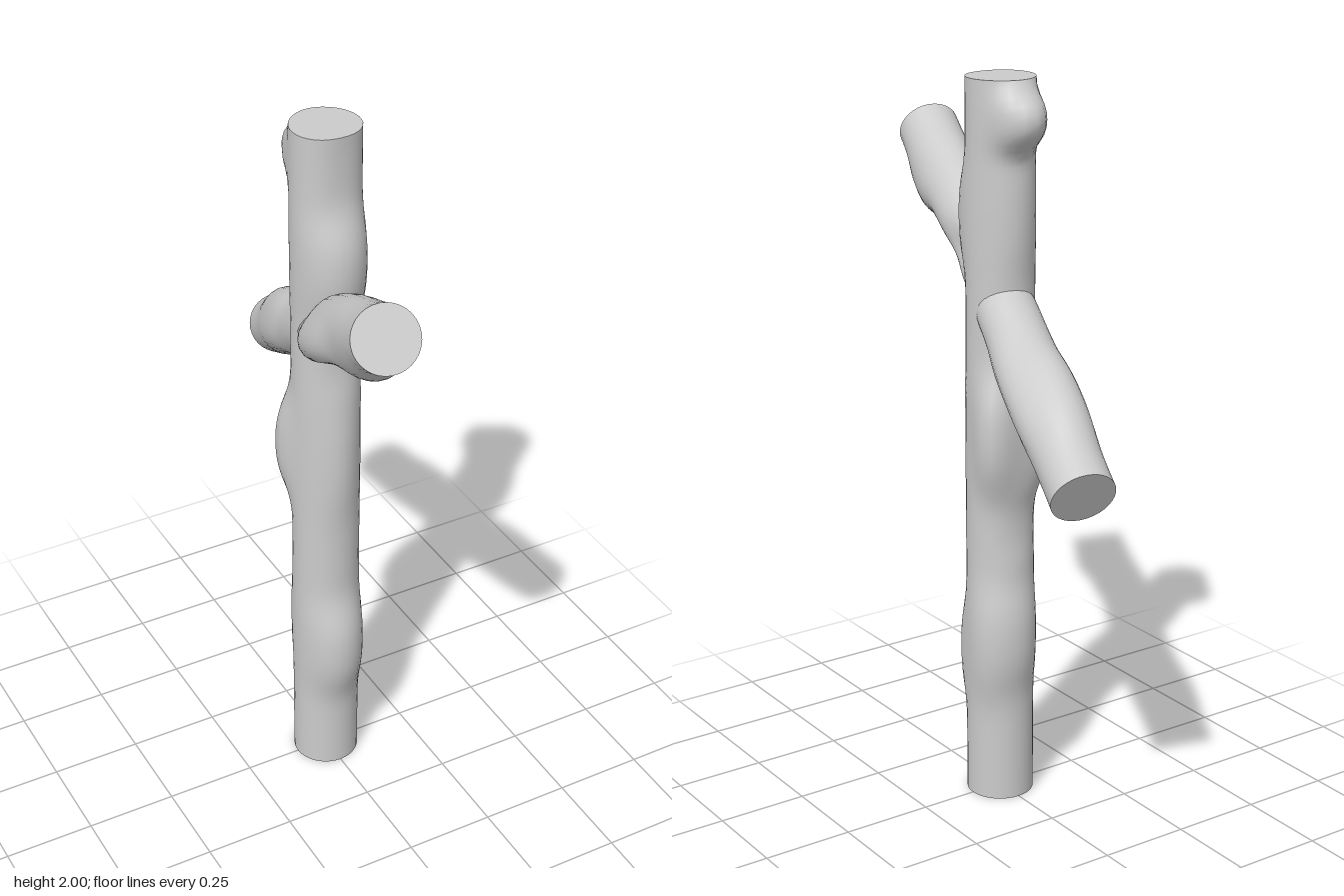
import * as THREE from 'three';

const SIDES = 32;
const ROWS = 100;

// Distance between two angles in degrees, wrapped to 0..180
function angleGap(a, b) {
  return Math.abs(((a - b + 540) % 360) - 180);
}

// A rough log along y with flat ends. Angle 0 faces +z, 90 faces +x.
// Each bump is [position, angle, height, half length, half angle].
function makeLog(y0, y1, radius, bumps, material) {
  const geometry = new THREE.CylinderGeometry(radius, radius, y1 - y0, SIDES, ROWS);
  geometry.translate(0, (y0 + y1) / 2, 0);
  const p = geometry.attributes.position;
  for (let i = 0; i < p.count; i++) {
    const x = p.getX(i), y = p.getY(i), z = p.getZ(i);
    if (Math.hypot(x, z) < 1e-6) continue; // cap centres stay put
    const angle = THREE.MathUtils.radToDeg(Math.atan2(x, z));
    let r = radius;
    for (const [at, dir, height, length, spread] of bumps) {
      const along = Math.pow((y - at) / length, 2);
      const around = Math.pow(angleGap(angle, dir) / spread, 2);
      r += height * Math.exp(-along * (0.5 + 0.5 * along) - around);
    }
    p.setXYZ(i, x * r / radius, y, z * r / radius);
  }
  geometry.computeVertexNormals();
  // Join the normals across the lengthwise seam
  const n = geometry.attributes.normal;
  for (let row = 0; row <= ROWS; row++) {
    const a = row * (SIDES + 1), b = a + SIDES;
    const v = new THREE.Vector3().fromBufferAttribute(n, a)
      .add(new THREE.Vector3().fromBufferAttribute(n, b)).normalize();
    n.setXYZ(a, v.x, v.y, v.z);
    n.setXYZ(b, v.x, v.y, v.z);
  }
  return new THREE.Mesh(geometry, material);
}

export function createModel() {
  const group = new THREE.Group();
  const wood = new THREE.MeshStandardMaterial({ color: 0xcccccc });

  // Upright trunk with swellings and a knot near the top
  const post = makeLog(0, 2, 0.092, [
    [0.42, 0, 0.038, 0.14, 50],
    [0.48, 180, 0.022, 0.13, 45],
    [0.46, 125, 0.02, 0.15, 35],
    [1.05, 0, 0.012, 0.16, 35],
    [1.06, 135, 0.045, 0.15, 28],
    [1.06, -130, 0.045, 0.15, 28],
    [1.05, 180, 0.012, 0.15, 30],
    [0.8, 180, -0.008, 0.08, 40],
    [1.64, 0, 0.034, 0.13, 55],
    [1.38, 0, -0.012, 0.1, 40],
    [1.9, 0, -0.012, 0.15, 40],
    [1.64, 180, 0.008, 0.12, 40],
    [1.9, 180, 0.075, 0.072, 35],
  ], wood);
  post.name = 'post';
  group.add(post);

  // Slanting branch through the trunk: angle 0 is its underside
  const high = new THREE.Vector3(-0.165, 1.76, 0.593);
  const low = new THREE.Vector3(0.165, 1.07, -0.593);
  const half = high.distanceTo(low) / 2;
  const branch = makeLog(-half, half, 0.084, [
    [0.36, 180, 0.018, 0.2, 50],
    [0.08, 180, -0.02, 0.1, 50],
    [-0.42, 180, 0.028, 0.15, 45],
    [0.51, 0, 0.024, 0.1, 55],
    [0.28, 0, -0.038, 0.13, 50],
    [-0.05, 0, -0.02, 0.16, 50],
    [-0.36, 0, -0.018, 0.1, 45],
    [0.26, -90, 0.032, 0.16, 40],
    [0.13, 90, -0.032, 0.13, 40],
    [-0.36, 90, 0.018, 0.16, 40],
    [-0.4, -90, 0.008, 0.12, 35],
  ], wood);
  branch.name = 'crossBranch';
  branch.position.copy(high).add(low).multiplyScalar(0.5);
  branch.quaternion.setFromUnitVectors(
    new THREE.Vector3(0, 1, 0), high.clone().sub(low).normalize());
  group.add(branch);

  return group;
}
